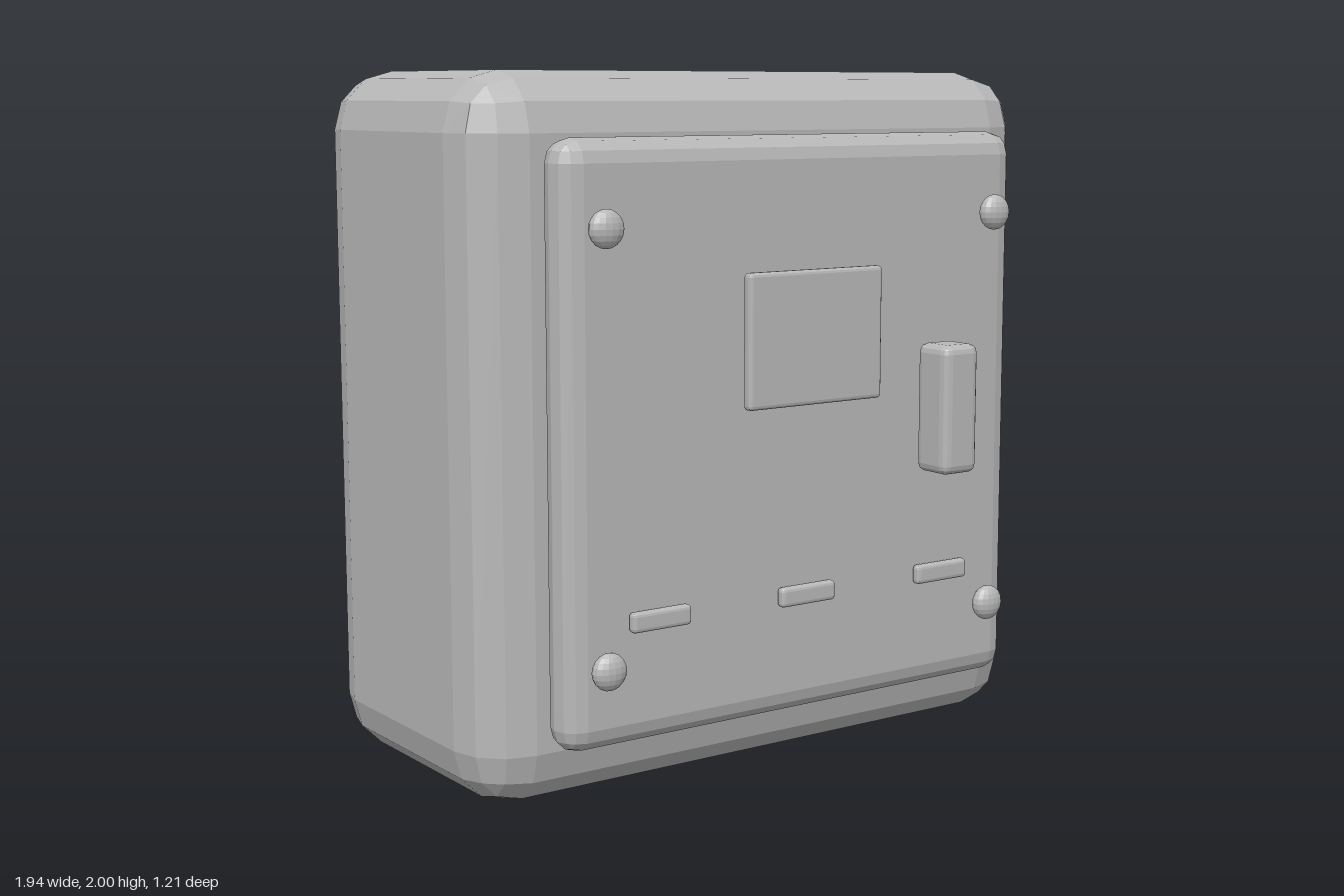
import * as THREE from 'three';
import { ConvexGeometry } from 'three/addons/geometries/ConvexGeometry.js';

const grey = new THREE.MeshStandardMaterial({ color: 0xb8b8b8, flatShading: true });
grey.name = 'grey metal';

// Faceted directions of one corner: three 30 degree steps along each edge, plus inner points
function cornerDirections() {
  const c = Math.cos(Math.PI / 6);
  const dirs = [];
  for (const [a, b, d] of [[1, 0, 0], [c, 0.5, 0], [0.5, c, 0], [0.75, 0.468, 0.468]]) {
    dirs.push([a, b, d], [d, a, b], [b, d, a]);
  }
  return dirs;
}

// Box between two corners with bevelled edges of radius r
function bevelBox(name, [x0, y0, z0], [x1, y1, z1], r) {
  const half = [(x1 - x0) / 2, (y1 - y0) / 2, (z1 - z0) / 2];
  const points = [];
  for (const sx of [-1, 1]) for (const sy of [-1, 1]) for (const sz of [-1, 1]) {
    for (const [dx, dy, dz] of cornerDirections()) {
      points.push(new THREE.Vector3(
        sx * (half[0] - r + r * dx),
        sy * (half[1] - r + r * dy),
        sz * (half[2] - r + r * dz)));
    }
  }
  const mesh = new THREE.Mesh(new ConvexGeometry(points), grey);
  mesh.name = name;
  mesh.position.set((x0 + x1) / 2, (y0 + y1) / 2, (z0 + z1) / 2);
  return mesh;
}

export function createModel() {
  const model = new THREE.Group();
  model.name = 'wallCabinet';

  // Cabinet and its door
  model.add(bevelBox('cabinetBody', [-0.97, 0, -0.605], [0.97, 2, 0.333], 0.165));
  model.add(bevelBox('doorPanel', [-0.79, 0.183, 0.331], [0.79, 1.825, 0.467], 0.066));

  // Label plate and handle
  model.add(bevelBox('labelPlate', [-0.235, 1.08, 0.491], [0.232, 1.457, 0.525], 0.012));
  model.add(bevelBox('handle', [0.402, 0.845, 0.474], [0.533, 1.222, 0.606], 0.026));

  // Row of vents
  for (const x of [-0.502, -0.002, 0.498]) {
    model.add(bevelBox('vent', [x - 0.096, 0.505, 0.467], [x + 0.096, 0.562, 0.498], 0.012));
  }

  // Flattened corner bolts
  const boltGeometry = new THREE.SphereGeometry(0.052, 16, 10);
  for (const x of [-0.677, 0.677]) for (const y of [0.416, 1.592]) {
    const bolt = new THREE.Mesh(boltGeometry, grey);
    bolt.name = 'cornerBolt';
    bolt.scale.z = 0.62;
    bolt.position.set(x, y, 0.498);
    model.add(bolt);
  }

  return model;
}
